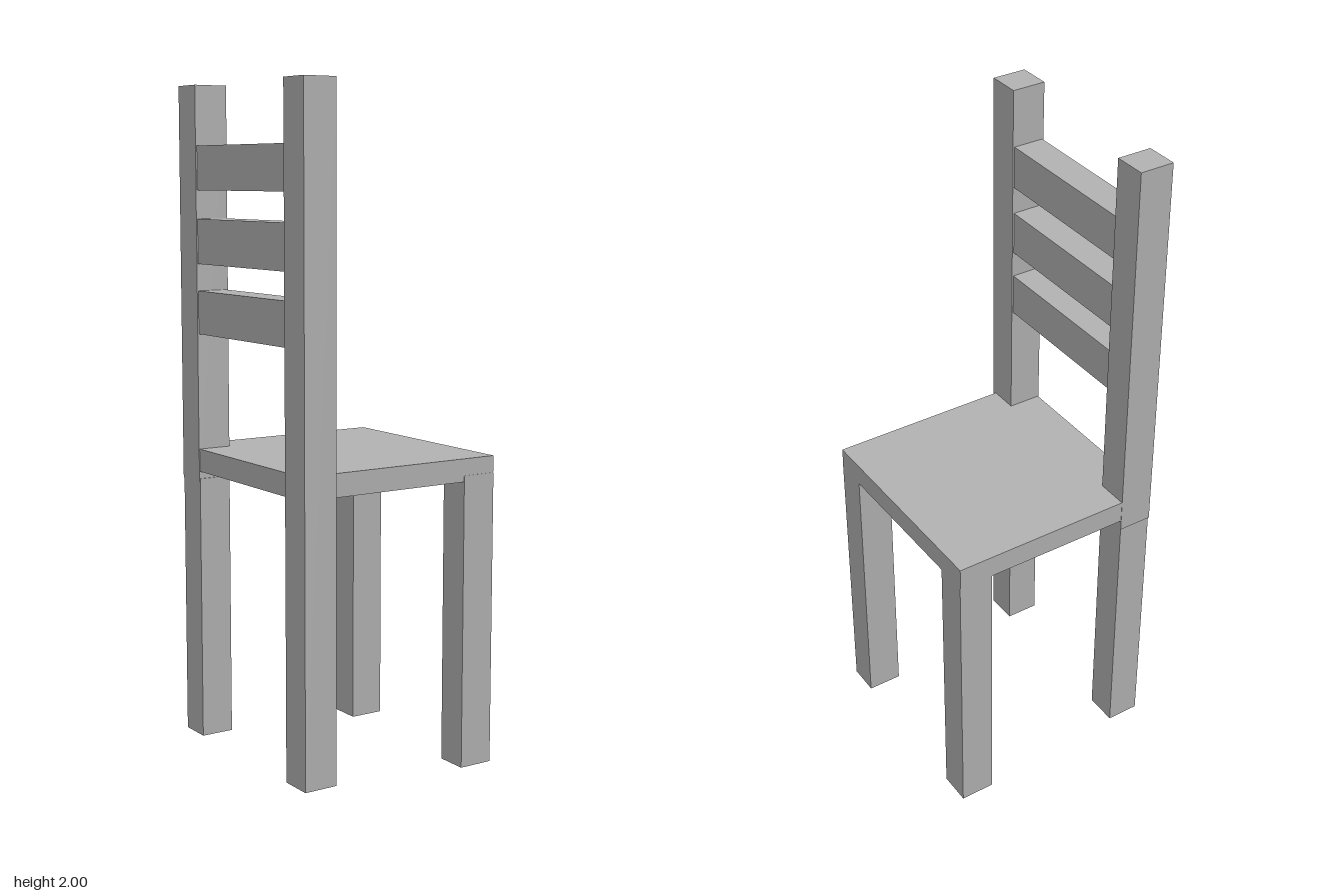
import * as THREE from 'three';

export function createModel() {
  const chair = new THREE.Group();
  chair.name = 'chair';
  const grey = new THREE.MeshStandardMaterial({ color: 0xb2b2b2 });
  grey.name = 'plain grey';

  // Box given by its limits on each axis
  function block(name, [x0, x1], [y0, y1], [z0, z1]) {
    const mesh = new THREE.Mesh(new THREE.BoxGeometry(x1 - x0, y1 - y0, z1 - z0), grey);
    mesh.position.set((x0 + x1) / 2, (y0 + y1) / 2, (z0 + z1) / 2);
    mesh.name = name;
    chair.add(mesh);
  }

  // Seat; the chair's open side faces +x
  block('seat', [-0.329, 0.331], [0.862, 0.93], [-0.343, 0.331]);

  // Front legs
  block('frontLegLeft', [0.224, 0.331], [0, 0.88], [-0.341, -0.242]);
  block('frontLegRight', [0.224, 0.331], [0, 0.88], [0.234, 0.332]);

  // Back posts: one in a single piece, one stepped just under the seat
  block('backPostRight', [-0.331, -0.227], [0.04, 2], [0.243, 0.344]);
  block('backPostLeft', [-0.331, -0.227], [0.83, 2], [-0.344, -0.245]);
  block('backLegLeft', [-0.33, -0.229], [0.04, 0.84], [-0.341, -0.242]);

  // Back slats
  for (const [bottom, top] of [[1.275, 1.403], [1.482, 1.614], [1.697, 1.826]]) {
    block('backSlat', [-0.327, -0.232], [bottom, top], [-0.25, 0.25]);
  }

  return chair;
}
